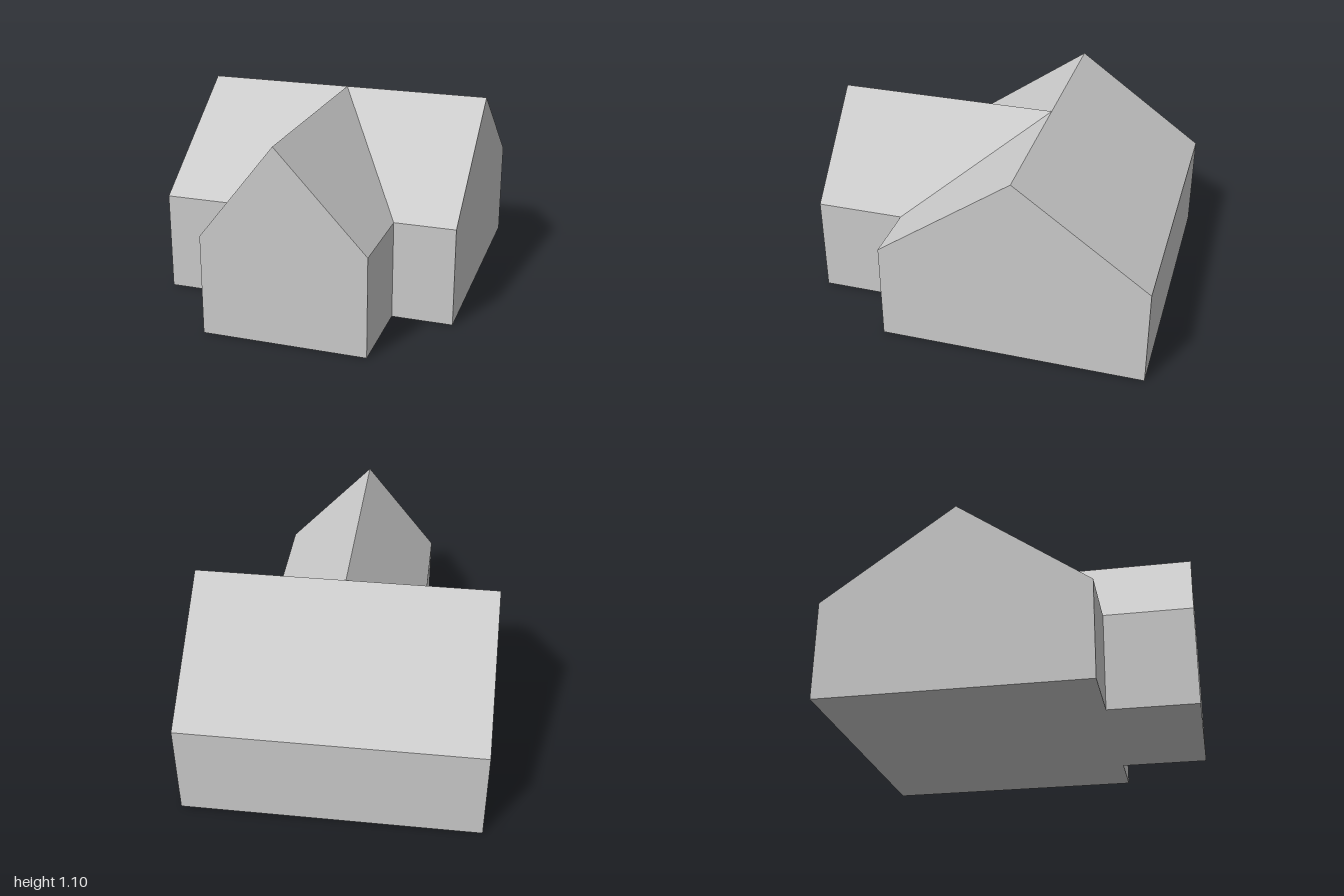
import * as THREE from 'three';

const W = 0.845;            // half width of the main block
const L = -0.42, R = 0.5;   // sides of the front wing
const BACK = -1, FRONT = 0.5, WING = 1, RIDGE = -0.25;
const EAVE = 0.565, TOP = 1.1;

// Flat-faced geometry from convex polygons, corners counter-clockwise from outside
function polygons(faces) {
  const pos = [];
  for (const f of faces)
    for (let i = 1; i < f.length - 1; i++) pos.push(...f[0], ...f[i], ...f[i + 1]);
  const g = new THREE.BufferGeometry();
  g.setAttribute('position', new THREE.Float32BufferAttribute(pos, 3));
  g.computeVertexNormals();
  return g;
}

export function createModel() {
  const group = new THREE.Group();
  const material = new THREE.MeshStandardMaterial({ color: 0xcccccc, flatShading: true });
  const add = (name, geometry) => {
    const mesh = new THREE.Mesh(geometry, material);
    mesh.name = name;
    group.add(mesh);
  };

  // T-shaped footprint as [x, z]
  const plan = [[-W, FRONT], [L, FRONT], [L, WING], [R, WING],
    [R, FRONT], [W, FRONT], [W, BACK], [-W, BACK]];

  // Gable peaks, by the footprint edge they stand on
  const peaks = { 2: [0, TOP, WING], 5: [W, TOP, RIDGE], 7: [-W, TOP, RIDGE] };
  add('walls', polygons(plan.map(([x, z], i) => {
    const [x2, z2] = plan[(i + 1) % plan.length];
    const face = [[x, 0, z], [x2, 0, z2], [x2, EAVE, z2]];
    if (peaks[i]) face.push(peaks[i]);
    face.push([x, EAVE, z]);
    return face;
  })));

  // Roofs meet in two valleys that rise to the middle of the main ridge
  const mid = [0, TOP, RIDGE], wingPeak = [0, TOP, WING];
  const ridgeL = [-W, TOP, RIDGE], ridgeR = [W, TOP, RIDGE];
  const valleyL = [L, EAVE, FRONT], valleyR = [R, EAVE, FRONT];
  add('mainRoof', polygons([
    [[W, EAVE, BACK], [-W, EAVE, BACK], ridgeL, mid, ridgeR],
    [[-W, EAVE, FRONT], valleyL, mid, ridgeL],
    [valleyR, [W, EAVE, FRONT], ridgeR, mid],
  ]));
  add('wingRoof', polygons([
    [valleyL, [L, EAVE, WING], wingPeak, mid],
    [[R, EAVE, WING], valleyR, mid, wingPeak],
  ]));

  // Underside, facing down
  const shape = new THREE.Shape(plan.map(([x, z]) => new THREE.Vector2(x, z)));
  add('floor', new THREE.ShapeGeometry(shape).rotateX(Math.PI / 2));

  return group;
}
